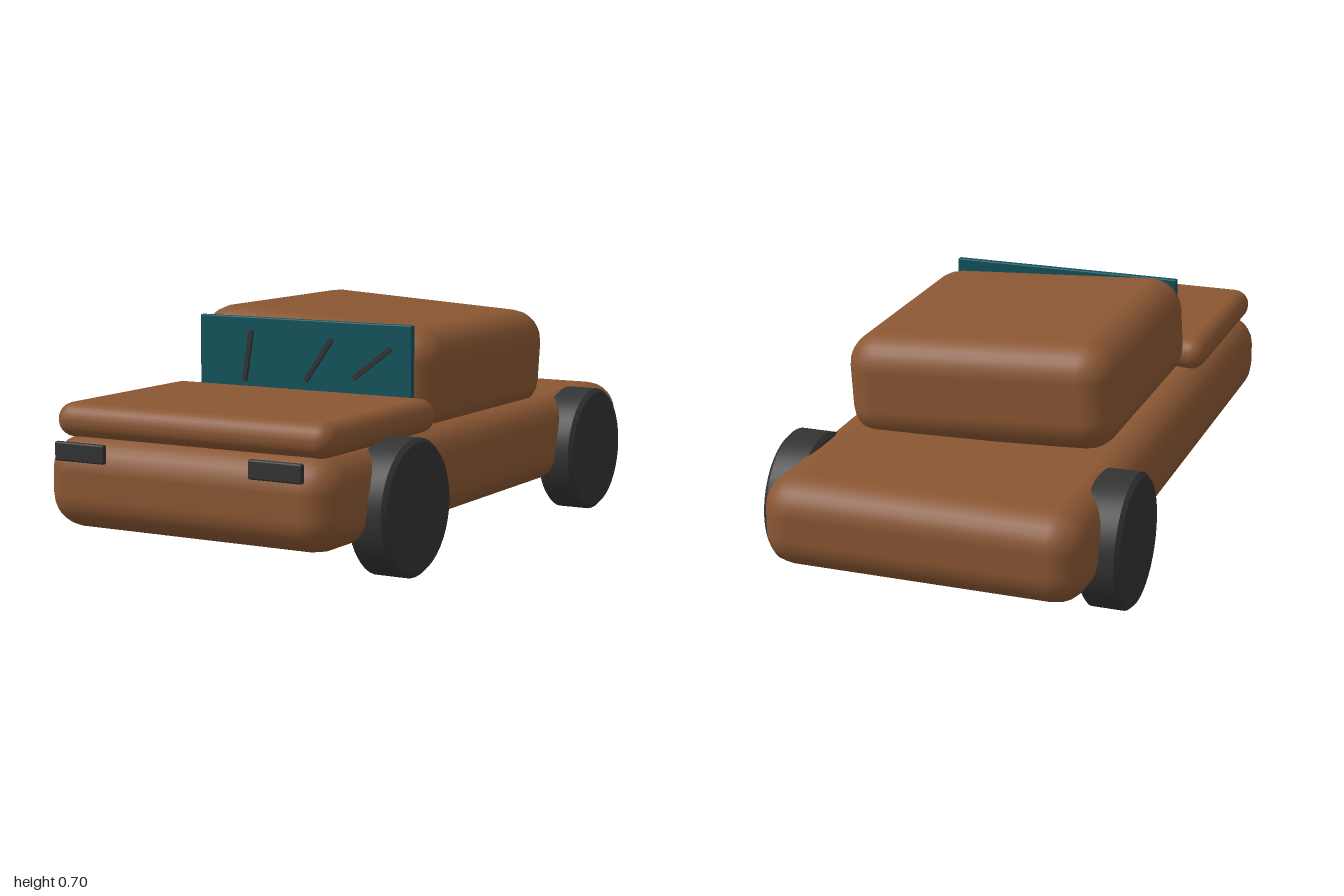
import * as THREE from 'three';
import { RoundedBoxGeometry } from 'three/addons/geometries/RoundedBoxGeometry.js';
import { toCreasedNormals } from 'three/addons/utils/BufferGeometryUtils.js';

function material(name, color) {
  const m = new THREE.MeshStandardMaterial({ color });
  m.name = name;
  return m;
}

export function createModel() {
  const car = new THREE.Group();
  car.name = 'car';
  const paint = material('brown paint', 0x8b5733);
  const glass = material('teal glass', 0x11525c);
  const rubber = material('dark rubber', 0x333333);

  function add(name, geometry, mat, x, y, z) {
    const mesh = new THREE.Mesh(geometry, mat);
    mesh.name = name;
    mesh.position.set(x, y, z);
    car.add(mesh);
    return mesh;
  }
  const rounded = (w, h, d, r) => new RoundedBoxGeometry(w, h, d, 3, r);

  // Bodywork; the cabin leans slightly to one side
  add('body', rounded(0.96, 0.27, 1.98, 0.1), paint, 0, 0.245, -0.01);
  add('hood', rounded(0.915, 0.1, 0.64, 0.049), paint, -0.002, 0.42, 0.625);
  const cabin = add('cabin', rounded(0.83, 0.32, 0.835, 0.1), paint, 0, 0.52, -0.115);
  cabin.rotation.z = -0.06;

  // Windshield
  add('windshield', rounded(0.735, 0.22, 0.02, 0.004), glass, -0.002, 0.565, 0.307);

  // Wipers: bottom end to top end
  const wipers = [
    [-0.205, 0.48, -0.18, 0.635],
    [0.01, 0.492, 0.1, 0.622],
    [0.175, 0.51, 0.3, 0.604],
  ];
  for (const [x0, y0, x1, y1] of wipers) {
    const length = Math.hypot(x1 - x0, y1 - y0);
    const wiper = add('wiper', new THREE.BoxGeometry(length, 0.014, 0.009), rubber,
      (x0 + x1) / 2, (y0 + y1) / 2, 0.324);
    wiper.rotation.z = Math.atan2(y1 - y0, x1 - x0);
  }

  // Headlights
  for (const x of [-0.325, 0.32]) {
    add('headlight', rounded(0.17, 0.055, 0.018, 0.006), rubber, x, 0.342, 0.991);
  }

  // Wheels: bevelled discs; there is no front wheel on the -x side
  const r = 0.197, h = 0.06, b = 0.012;
  const profile = [[0, -h], [r - b, -h], [r, b - h], [r, h - b], [r - b, h], [0, h]]
    .map(([x, y]) => new THREE.Vector2(x, y));
  const wheel = toCreasedNormals(new THREE.LatheGeometry(profile, 40), 0.5);
  wheel.rotateZ(Math.PI / 2);
  add('frontWheelLeft', wheel, rubber, 0.475, r, 0.585);
  add('rearWheelLeft', wheel, rubber, 0.475, r, -0.643);
  add('rearWheelRight', wheel, rubber, -0.477, r, -0.643);

  return car;
}
